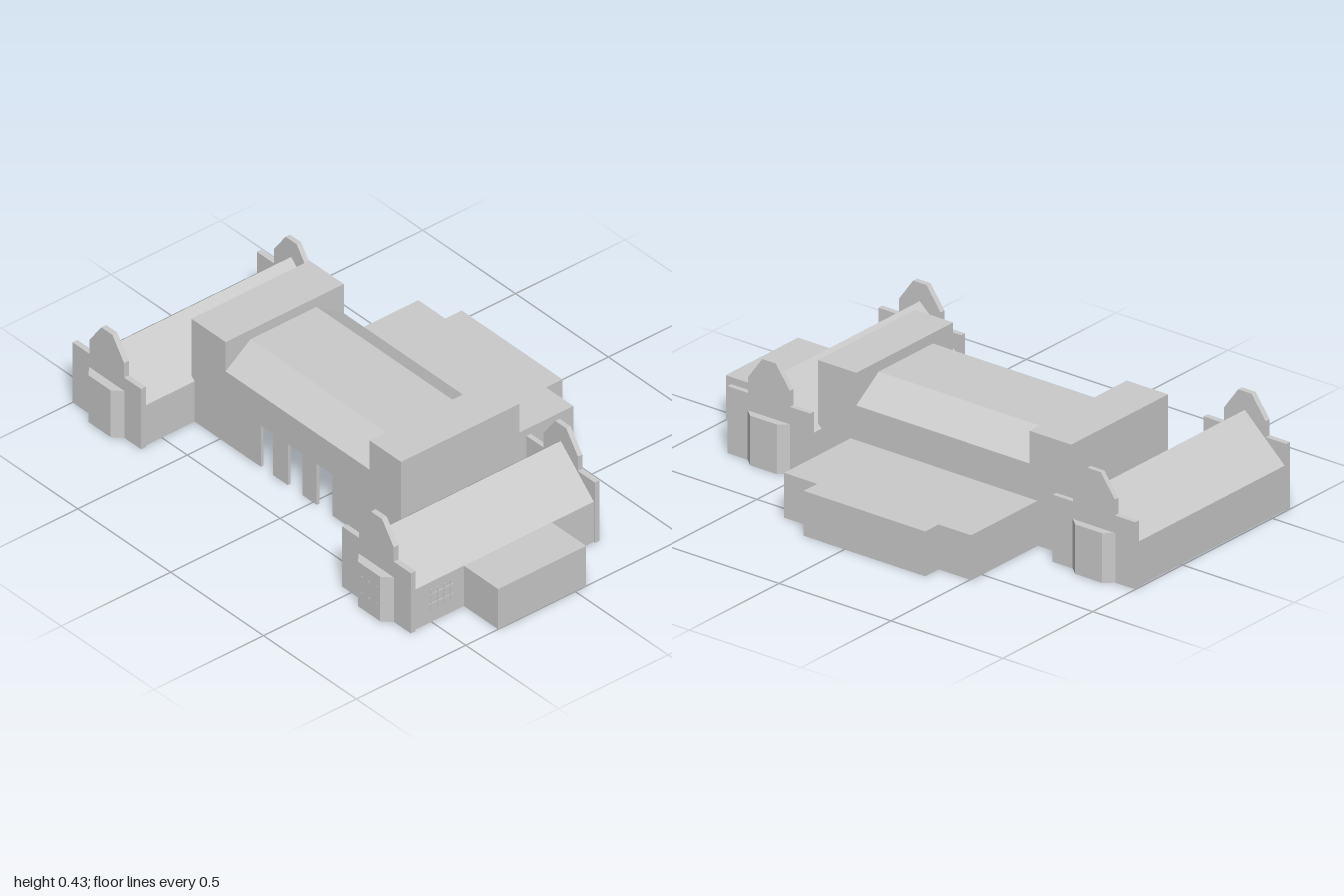
import * as THREE from 'three';

const T = 0.012; // wall thickness
const material = new THREE.MeshStandardMaterial({ color: 0xcccccc, flatShading: true, side: THREE.DoubleSide });

function add(parent, name, geometry) {
  const mesh = new THREE.Mesh(geometry, material);
  mesh.name = name;
  parent.add(mesh);
  return mesh;
}

// Box given by its minimum and maximum corners
function block(parent, name, x0, x1, y0, y1, z0, z1) {
  const mesh = add(parent, name, new THREE.BoxGeometry(x1 - x0, y1 - y0, z1 - z0));
  mesh.position.set((x0 + x1) / 2, (y0 + y1) / 2, (z0 + z1) / 2);
}

function extrude(points, depth) {
  const shape = new THREE.Shape(points.map(([x, y]) => new THREE.Vector2(x, y)));
  return new THREE.ExtrudeGeometry(shape, { depth, bevelEnabled: false });
}

// Outline in x and y, running from z0 to z1
function panel(parent, name, points, z0, z1) {
  add(parent, name, extrude(points, z1 - z0)).position.z = z0;
}

// Outline in x and z, running from y0 to y1
function plan(parent, name, points, y0, y1) {
  const g = extrude(points.map(([x, z]) => [x, -z]), y1 - y0);
  add(parent, name, g.rotateX(-Math.PI / 2).translate(0, y0, 0));
}

// Outline in z and y, running from x0 to x1
function section(parent, name, points, x0, x1) {
  const g = extrude(points.map(([z, y]) => [-z, y]), x1 - x0);
  add(parent, name, g.rotateY(Math.PI / 2).translate(x0, 0, 0));
}

// Stepped gable wall, open at the bottom where the bay joins it
function gable(parent, name, z0, z1, bayHeight) {
  const half = [[0.08, 0], [0.08, bayHeight - T], [-0.08, bayHeight - T], [-0.08, 0]];
  panel(parent, name, [
    [-0.185, 0], [-0.185, 0.257], [-0.093, 0.257], [-0.093, 0.318], [-0.03, 0.405],
    [0.03, 0.405], [0.093, 0.318], [0.093, 0.257], [0.185, 0.257], [0.185, 0], ...half,
  ], z0, z1);
}

// Hollow bay with slanted sides; dir is the way it faces along z
function bay(parent, name, wallZ, depth, height, dir) {
  const z = wallZ + dir * depth, i = z - dir * T;
  plan(parent, name + 'Walls', [
    [-0.095, wallZ], [-0.06, z], [0.06, z], [0.095, wallZ],
    [0.082, wallZ], [0.054, i], [-0.054, i], [-0.082, wallZ],
  ], 0, height);
  plan(parent, name + 'Roof', [[-0.095, wallZ], [-0.06, z], [0.06, z], [0.095, wallZ]], height - T, height);
}

function wing(name, cx, frontBayHeight) {
  const g = new THREE.Group();
  g.name = name;
  g.position.x = cx;
  panel(g, 'pitchedRoof', [
    [-0.178, 0.172], [0, 0.335], [0.178, 0.172], [0.178, 0.158], [0, 0.321], [-0.178, 0.158],
  ], -0.245, 0.58);
  gable(g, 'frontGable', 0.578, 0.6, frontBayHeight);
  gable(g, 'backGable', -0.262, -0.242, 0.19);
  bay(g, 'frontBay', 0.6, 0.034, frontBayHeight, 1);
  bay(g, 'backBay', -0.262, 0.03, 0.19, -1);
  return g;
}

// Central hall with raised end blocks and a sloped roof between them
function hall() {
  const g = new THREE.Group();
  g.name = 'centralHall';
  const [x0, x1, x2, x3] = [-0.655, -0.47, 0.305, 0.475];
  const back = -0.19, front = 0.35;
  const doors = [[0.395, 0.355, 0.1], [0.105, 0.02, 0.175], [-0.055, -0.135, 0.175], [-0.215, -0.28, 0.175]];
  const top = [[x0, 0.43], [x1, 0.43], [x1, 0.305], [x2, 0.305], [x2, 0.43], [x3, 0.43]];
  const notches = doors.flatMap(([r, l, h]) => [[r, 0], [r, h], [l, h], [l, 0]]);
  panel(g, 'frontWall', [[x0, 0], ...top, [x3, 0], ...notches], front - T, front);
  panel(g, 'backWall', [
    [x0, 0], ...top, [x3, 0], [0.33, 0], [0.33, 0.16], [-0.505, 0.16], [-0.505, 0],
  ], back, back + T);
  section(g, 'middleRoof', [
    [front, 0.305], [0.237, 0.39], [-0.065, 0.39], [back, 0.305],
    [back + 0.01, 0.295], [-0.06, 0.378], [0.232, 0.378], [front - 0.01, 0.295],
  ], x1, x2);
  for (const [a, b, inner] of [[x0, x1, x1 - T], [x2, x3, x2]]) {
    block(g, 'endBlockRoof', a, b, 0.43 - T, 0.43, back, front);
    const outer = a === x0 ? x0 : x3 - T;
    block(g, 'endBlockOuterWall', outer, outer + T, 0.17, 0.43, back, front);
    section(g, 'endBlockInnerWall', [
      [front, 0.305], [front, 0.43], [back, 0.43], [back, 0.305], [-0.065, 0.378], [0.237, 0.378],
    ], inner, inner + T);
  }
  return g;
}

export function createModel() {
  const model = new THREE.Group();
  model.name = 'building';
  model.add(hall());
  const left = wing('leftWing', 0.637, 0.19);
  model.add(left, wing('rightWing', -0.815, 0.2));

  // Long walls of the wings, broken where the hall and side annex join
  for (const [x, z0, z1] of [
    [-0.993, -0.25, 0.58], [-0.649, 0.35, 0.58], [-0.649, -0.25, -0.19],
    [0.459, 0.35, 0.58], [0.459, -0.25, -0.19], [0.803, 0.35, 0.58], [0.803, -0.25, -0.05],
  ]) block(model, 'wingSideWall', x, x + T, 0, 0.172, z0, z1);

  // Low flat-roofed rear block, stepped in plan
  const H = 0.172;
  const outline = [
    [-0.505, -0.19], [-0.505, -0.56], [-0.36, -0.56], [-0.36, -0.635],
    [0.183, -0.635], [0.183, -0.56], [0.33, -0.56], [0.33, -0.19],
  ];
  const inner = [
    [0.33 - T, -0.19], [0.33 - T, -0.56 + T], [0.183 - T, -0.56 + T], [0.183 - T, -0.635 + T],
    [-0.36 + T, -0.635 + T], [-0.36 + T, -0.56 + T], [-0.505 + T, -0.56 + T], [-0.505 + T, -0.19],
  ];
  plan(model, 'rearBlockWalls', [...outline, ...inner], 0, H);
  plan(model, 'rearBlockRoof', outline, H - T, H);

  // Side annex
  plan(model, 'sideAnnexWalls', [
    [0.81, -0.05], [1, -0.05], [1, 0.352], [0.81, 0.352],
    [0.81, 0.352 - T], [1 - T, 0.352 - T], [1 - T, -0.05 + T], [0.81, -0.05 + T],
  ], 0, H);
  block(model, 'sideAnnexRoof', 0.81, 1, H - T, H, -0.05, 0.352);

  // Slim window bars on the left wing
  for (const z of [0.41, 0.44, 0.47, 0.5]) block(model, 'windowBar', 0.813, 0.818, 0.05, 0.14, z, z + 0.005);
  for (const y of [0.075, 0.115]) block(model, 'windowRail', 0.813, 0.818, y, y + 0.005, 0.4, 0.515);
  for (const y of [0.06, 0.13])
    for (const x of [-0.04, 0, 0.04]) block(left, 'bayStud', x - 0.004, x + 0.004, y, y + 0.008, 0.63, 0.636);
  return model;
}
